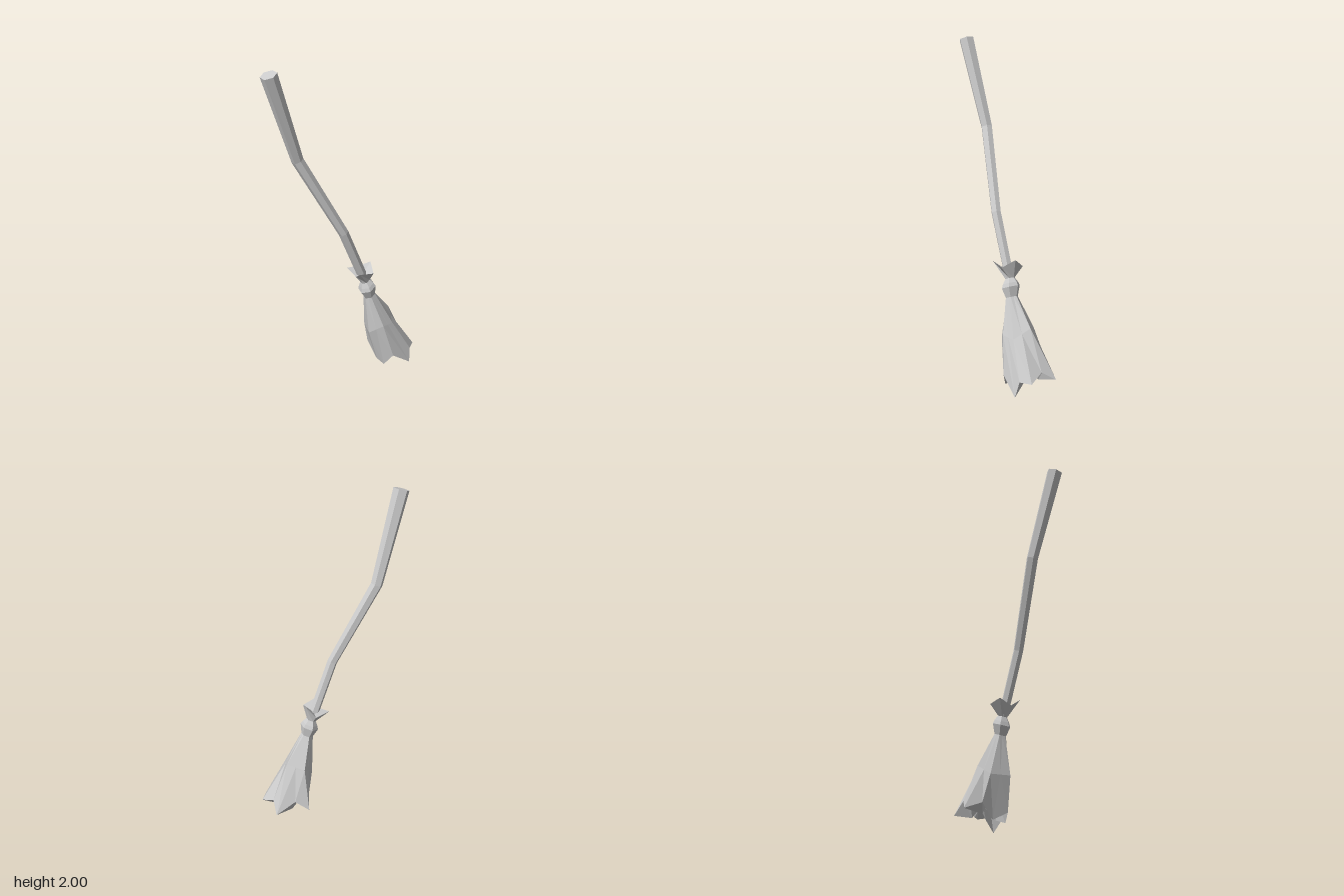
import * as THREE from 'three';

const V = (x, y, z) => new THREE.Vector3(x, y, z);
const pts = rows => rows.map(p => V(...p));

// Ring of six points around a centre, perpendicular to an axis that points up
function hex(center, axis, r, phase = 0) {
  const up = axis.clone().normalize();
  const u = V(1, 0, 0).addScaledVector(up, -up.x).normalize();
  const v = u.clone().cross(up);
  return Array.from({ length: 6 }, (_, i) => {
    const a = phase + i * Math.PI / 3;
    return center.clone().addScaledVector(u, r * Math.cos(a)).addScaledVector(v, r * Math.sin(a));
  });
}

// Insert the midpoint after every point of a ring
const split = ring => ring.flatMap((p, i) => [p, p.clone().lerp(ring[(i + 1) % ring.length], 0.5)]);

// A ring shrunk to one point, closing an end
const pole = (p, n) => Array.from({ length: n }, () => p);

// Faceted skin over rings listed from top to bottom
function loft(name, rings) {
  const tris = [];
  for (let k = 0; k + 1 < rings.length; k++) {
    const top = rings[k], low = rings[k + 1], n = top.length;
    for (let i = 0; i < n; i++) {
      const j = (i + 1) % n;
      for (const t of [[top[i], top[j], low[i]], [top[j], low[j], low[i]]]) {
        if (t[0] !== t[1] && t[1] !== t[2]) tris.push(...t);
      }
    }
  }
  const g = new THREE.BufferGeometry().setFromPoints(tris);
  g.computeVertexNormals();
  const mat = new THREE.MeshStandardMaterial({ color: 0xcccccc, flatShading: true, side: THREE.DoubleSide });
  const mesh = new THREE.Mesh(g, mat);
  mesh.name = name;
  return mesh;
}

export function createModel() {
  const group = new THREE.Group();
  group.name = 'broom';

  // Crooked handle
  const path = pts([[-0.415, 1.985, 0.198], [-0.27, 1.46, 0.09], [-0.01, 0.98, 0.062], [0.125, 0.62, 0]]);
  const radii = [0.047, 0.035, 0.03, 0.029];
  const handleRings = path.map((p, i) => {
    const axis = path[Math.max(i - 1, 0)].clone().sub(path[Math.min(i + 1, 3)]);
    return hex(p, axis, radii[i]);
  });
  group.add(loft('handle', [pole(path[0], 6), ...handleRings, pole(path[3], 6)]));

  // Flared tuft above the binding
  const axis = V(-0.33, 0.92, 0.15), phase = -1.83;
  const waist = hex(V(0.129, 0.615, -0.003), axis, 0.029, phase);
  const tuftRim = pts([
    [0.11, 0.68, -0.08], [0.165, 0.73, -0.03], [0.172, 0.69, 0.05],
    [0.085, 0.71, 0.092], [0.068, 0.665, 0.035], [0.024, 0.69, -0.04],
  ]);
  group.add(loft('tuft', [pole(V(0.112, 0.66, 0.01), 6), tuftRim, waist]));

  // Binding bulge
  const neck = hex(V(0.157, 0.51, -0.01), axis, 0.037, phase);
  group.add(loft('binding', [
    waist,
    hex(V(0.137, 0.588, -0.005), axis, 0.047, phase),
    hex(V(0.142, 0.566, -0.006), axis, 0.056, phase),
    neck,
  ]));

  // Bristle head: six panels, each ending in a point between two notches
  const middle = pts([
    [0.19, 0.33, -0.135], [0.295, 0.36, -0.1], [0.305, 0.3, 0],
    [0.24, 0.31, 0.052], [0.15, 0.27, 0.048], [0.137, 0.27, -0.07],
  ]);
  const notches = pts([
    [0.26, 0.14, -0.2], [0.39, 0.13, -0.15], [0.425, 0.09, -0.02],
    [0.305, 0.09, 0.055], [0.205, 0.07, 0.045], [0.165, 0.11, -0.11],
  ]);
  const points = pts([
    [0.38, 0.08, -0.235], [0.455, 0.085, -0.085], [0.42, 0, 0.005],
    [0.25, 0.02, 0.04], [0.21, 0.025, -0.04], [0.175, 0.075, -0.212],
  ]);
  const rim = notches.flatMap((p, i) => [p, points[i]]);

  // Jagged underside: inner spikes alternate with hollows
  const core = V(0.29, 0.13, -0.085);
  const inner = rim.map((p, i) => {
    const q = p.clone().lerp(core, i % 2 ? 0.35 : 0.45);
    q.y = i % 2 ? 0.15 : 0.045 + 0.012 * (i % 3);
    return q;
  });
  group.add(loft('bristles', [split(neck), split(middle), rim, inner, pole(core, 12)]));

  return group;
}
